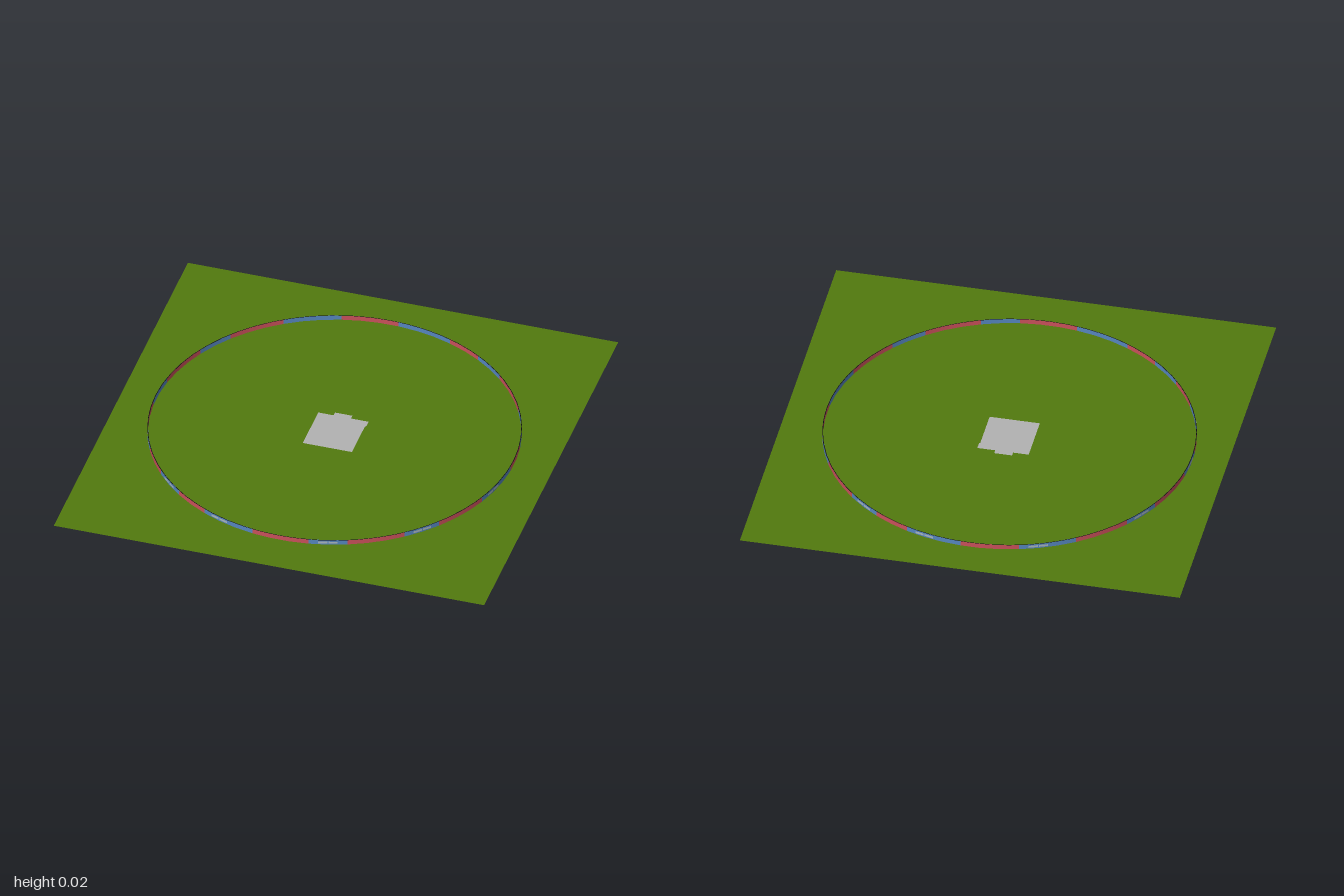
import * as THREE from 'three';

const mat = (name, color, side = THREE.DoubleSide) => {
  const m = new THREE.MeshStandardMaterial({ color, side });
  m.name = name;
  return m;
};

export function createModel() {
  const group = new THREE.Group();
  const grass = mat('grass green', 0x527a0e);
  const stone = mat('pale grey', 0xb2b2b2);
  const red = mat('board red', 0xc8505a);
  const blue = mat('board blue', 0x5585bd);
  const pale = mat('panel grey', 0xa9b4bd);
  const dark = mat('rim black', 0x0a0a10);

  const add = (name, geometry, material, parent = group) => {
    const mesh = new THREE.Mesh(geometry, material);
    mesh.name = name;
    parent.add(mesh);
    return mesh;
  };

  // Central square with a small step at the back and right; y here becomes -z
  const outline = [
    [-0.12, -0.105], [0.105, -0.105], [0.105, 0.09], [0.11, 0.09], [0.11, 0.127],
    [0.03, 0.127], [0.03, 0.148], [-0.05, 0.148], [-0.05, 0.127], [-0.12, 0.127],
  ].map(([x, y]) => new THREE.Vector2(x, y));
  add('centreSquare', new THREE.ShapeGeometry(new THREE.Shape(outline)).rotateX(-Math.PI / 2), stone);

  // Field, cut out around the central square
  const field = new THREE.Shape([[-0.985, -1], [0.985, -1], [0.985, 1], [-0.985, 1]]
    .map(([x, y]) => new THREE.Vector2(x, y)));
  field.holes.push(new THREE.Path(outline));
  add('field', new THREE.ShapeGeometry(field).rotateX(-Math.PI / 2), grass);

  // Ring of boundary boards, alternating red and blue, made of 6 degree panels
  const ring = new THREE.Group();
  ring.name = 'boundaryBoards';
  ring.position.set(-0.01, 0, -0.0125);
  group.add(ring);
  const R = 0.82, H = 0.022;
  const rad = THREE.MathUtils.degToRad;
  const band = (radius, y0, y1, a0, a1) =>
    new THREE.CylinderGeometry(radius, radius, y1 - y0, Math.max(1, Math.round((a1 - a0) / 6)), 1, true,
      rad(a0), rad(a1 - a0)).translate(0, (y0 + y1) / 2, 0);

  const edges = [-9, 9, 21, 39, 51, 69, 87, 99, 117, 135, 147, 159, 177, 195, 213, 231,
    243, 261, 273, 285, 297, 309, 321, 333, 351];
  for (let i = 0; i < edges.length - 1; i++) {
    const a0 = edges[i], a1 = edges[i + 1], isRed = i % 2 === 0;
    const color = isRed ? red : blue;
    add('boardOuter', band(R, 0, H, a0, a1), color, ring);
    add('boardInner', band(R - 0.003, 0, H, a0, a1), color, ring);
    // Plain pale panel on each blue board
    if (!isRed) add('boardPanel', band(R + 0.001, 0.006, 0.016, a0 + 3, a0 + 9), pale, ring);
  }

  // Dark top rim
  add('boardRim', new THREE.RingGeometry(R - 0.003, R, 60, 1).rotateX(-Math.PI / 2).translate(0, H, 0), dark, ring);
  return group;
}
